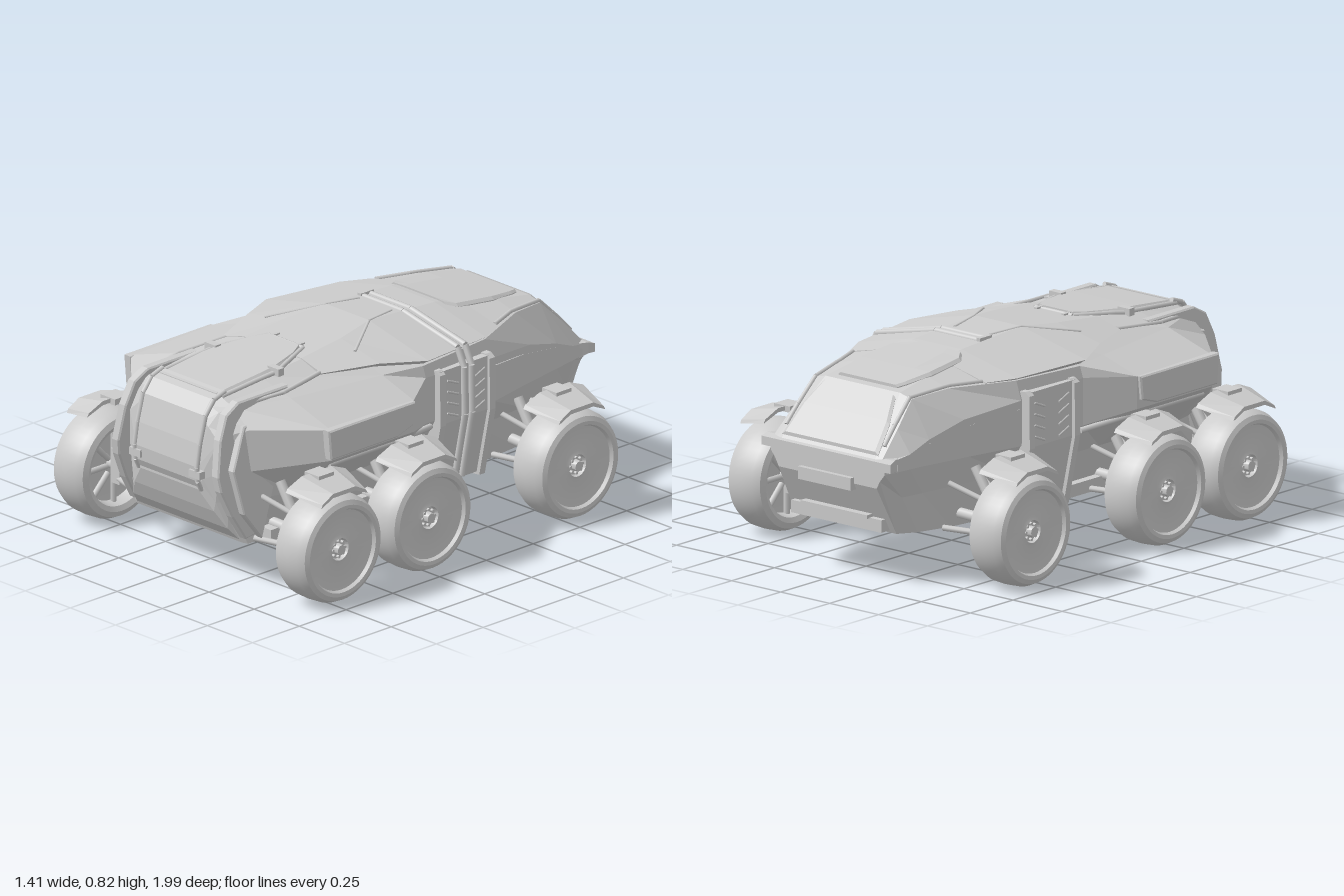
import * as THREE from 'three';
import { toCreasedNormals } from 'three/addons/utils/BufferGeometryUtils.js';

const flat = new THREE.MeshStandardMaterial({ color: 0xcccccc, flatShading: true });
const smooth = new THREE.MeshStandardMaterial({ color: 0xcccccc });
const V = (x, y, z) => new THREE.Vector3(x, y, z);

// Hull station: half profile from the belly edge up to the flat of the roof; the sill follows by rule
const station = (z, bellyX, bellyY, beltX, beltLow, beltTop, edgeX, edgeY, flatX, flatY) => ({
  z, half: [[bellyX, bellyY], [Math.min(.36, bellyX + .4 * (beltX - bellyX)), Math.max(.35, bellyY + .03)],
    [beltX, beltLow], [beltX, beltTop], [edgeX, edgeY], [flatX, flatY]],
});
const HULL = [
  station(-0.975, .25, .40, .29, .46, .50, .27, .505, .24, .51),
  station(-0.87, .26, .20, .33, .47, .53, .265, .617, .22, .627),
  station(-0.77, .28, .19, .34, .47, .57, .25, .715, .19, .73),
  station(-0.60, .30, .18, .37, .48, .62, .29, .73, .18, .757),
  station(-0.33, .31, .17, .425, .48, .65, .40, .725, .12, .795),
  station(0.02, .31, .17, .435, .48, .67, .42, .715, .12, .81),
  station(0.20, .31, .17, .555, .53, .66, .38, .715, .15, .795),
  station(0.64, .31, .17, .555, .53, .655, .33, .725, .17, .765),
  station(0.86, .29, .18, .325, .48, .65, .24, .72, .17, .748),
  station(0.91, .26, .24, .275, .47, .63, .21, .705, .165, .72),
  station(0.945, .22, .31, .245, .47, .60, .19, .65, .16, .665),
  station(0.97, .16, .39, .185, .44, .47, .17, .50, .16, .51),
];

// Skin through matching loops; loops run anticlockwise seen from +z, z rising
function loft(loops) {
  const p = [], n = loops[0].length;
  const tri = (...v) => v.forEach(a => p.push(a.x, a.y, a.z));
  const mid = l => l.reduce((s, v) => s.add(v), V(0, 0, 0)).divideScalar(n);
  const first = loops[0], last = loops[loops.length - 1], c0 = mid(first), c1 = mid(last);
  for (let j = 0; j < n; j++) {
    const k = (j + 1) % n;
    for (let i = 0; i < loops.length - 1; i++) {
      const a = loops[i], b = loops[i + 1];
      tri(a[j], a[k], b[k]);
      tri(a[j], b[k], b[j]);
    }
    tri(c0, first[k], first[j]);
    tri(c1, last[j], last[k]);
  }
  const g = new THREE.BufferGeometry();
  g.setAttribute('position', new THREE.Float32BufferAttribute(p, 3));
  g.computeVertexNormals();
  return g;
}

// Height of the upper hull skin above (x, z)
function roofY(x, z) {
  const lerp = THREE.MathUtils.lerp;
  let i = 0;
  while (i < HULL.length - 2 && HULL[i + 1].z < z) i++;
  const A = HULL[i], B = HULL[i + 1];
  const t = THREE.MathUtils.clamp((z - A.z) / (B.z - A.z), 0, 1);
  const [belt, edge, top] = [3, 4, 5].map(k => A.half[k].map((v, c) => lerp(v, B.half[k][c], t)));
  const ax = Math.abs(x);
  if (ax <= top[0]) return top[1];
  const [p, q] = ax <= edge[0] ? [top, edge] : [edge, belt];
  return lerp(p[1], q[1], Math.min(1, (ax - p[0]) / (q[0] - p[0])));
}

// Raised plate lying on the roof; rows are [z, half width]
function drapedPanel(rows, lift) {
  return loft(rows.map(([z, w]) => {
    const top = [1, .93, .5, 0, -.5, -.93, -1].map((f, i) =>
      V(w * f, roofY(w * f, z) + (i % 6 ? lift : lift * .3), z));
    return [V(-w, roofY(w, z) - .03, z), V(w, roofY(w, z) - .03, z), ...top];
  }));
}

// Plate cut in the z-y plane, running from x0 to x1
function sidePlate(pts, x0, x1, bevel = 0) {
  const shape = new THREE.Shape(pts.map(([z, y]) => new THREE.Vector2(-z, y)));
  const g = new THREE.ExtrudeGeometry(shape, { depth: Math.abs(x1 - x0), bevelEnabled: bevel > 0, bevelSize: bevel, bevelThickness: bevel, bevelSegments: 1 });
  return g.rotateY(Math.PI / 2).translate(Math.min(x0, x1), 0, 0);
}

// Move every vertex by a rule
function bend(g, rule) {
  const p = g.attributes.position;
  for (let i = 0; i < p.count; i++) p.setXYZ(i, ...rule(p.getX(i), p.getY(i), p.getZ(i)));
  g.computeVertexNormals();
  return g;
}

// Four-cornered cross-section, symmetric in x: lower and upper half widths with their y and z
const quad = (w0, y0, z0, w1, y1, z1) => [V(w0, y0, z0), V(w1, y1, z1), V(-w1, y1, z1), V(-w0, y0, z0)];

export function createModel() {
  const root = new THREE.Group();
  const add = (name, geo, mat = flat, parent = root) => {
    const m = new THREE.Mesh(geo, mat);
    m.name = name;
    parent.add(m);
    return m;
  };
  const box = (name, w, h, d, x, y, z, parent) => add(name, new THREE.BoxGeometry(w, h, d).translate(x, y, z), flat, parent);
  const strut = (name, a, b, r, parent) => {
    const m = add(name, new THREE.CylinderGeometry(r, r, a.distanceTo(b), 8), smooth, parent);
    m.position.copy(a).add(b).multiplyScalar(.5);
    m.quaternion.setFromUnitVectors(V(0, 1, 0), b.clone().sub(a).normalize());
  };
  const chain = (name, pts, r) => pts.slice(1).forEach((p, i) => strut(name, pts[i], p, r));
  // Seam rib following the roof through [x, z] points
  const rib = (name, pts, r) => {
    const path = [];
    pts.slice(1).forEach(([x, z], i) => {
      for (let k = i ? 1 : 0; k <= 5; k++) {
        const px = THREE.MathUtils.lerp(pts[i][0], x, k / 5), pz = THREE.MathUtils.lerp(pts[i][1], z, k / 5);
        path.push(V(px, roofY(px, pz) + r * .3, pz));
      }
    });
    chain(name, path, r);
  };

  // Body, overhanging roof plate and raised panels
  add('hull', loft(HULL.map(({ z, half }) => [
    ...half.map(([x, y]) => V(x, y, z)), ...half.slice().reverse().map(([x, y]) => V(-x, y, z))])));
  add('roofPlate', loft([[-.45, .13, .782, .35, .732], [-.33, .12, .80, .405, .735], [.02, .12, .82, .45, .745], [.20, .15, .803, .365, .758], [.42, .16, .783, .275, .752]]
    .map(([z, a, ya, b, yb]) => [V(b - .03, yb - .02, z), V(b, yb, z), V(a, ya, z), V(-a, ya, z), V(-b, yb, z), V(.03 - b, yb - .02, z)])));
  add('hoodPanel', drapedPanel([[.36, .09], [.42, .125], [.56, .165], [.64, .17], [.87, .165]], .016));
  const nose = [[.84, .765], [.90, .745], [.945, .69], [.975, .58], [.99, .49], [.985, .43], [.965, .39]];
  add('nosePanel', sidePlate([...nose, [.90, .365], [.84, .365]], -.165, .165));
  add('rearHatch', drapedPanel([[-.74, .15], [-.70, .165], [-.58, .19], [-.40, .18], [-.36, .15]], .012));
  add('rearWindow', drapedPanel([[-.96, .245], [-.87, .225], [-.79, .185]], .014));

  // Roof bar, continuing down one flank as a hoop
  for (const z of [-.165, -.205]) {
    chain('roofBar', [V(-.12, .805, z), V(.12, .805, z), V(.42, .742, z)], .013);
    chain('sideHoop', [V(.42, .742, z), V(.455, .67, z), V(.46, .48, z), V(.405, .20, z)], .013);
  }
  box('roofBarEnd', .02, .03, .07, -.11, .805, -.185);

  // Front and rear bumpers, rear lip
  add('frontBumper', loft([quad(.30, .17, .72, .31, .30, .72), quad(.31, .175, .85, .28, .30, .90), quad(.29, .18, .865, .255, .31, .92)]));
  add('rearLip', loft([quad(.33, .475, -.985, .33, .51, -.985), quad(.325, .475, -.955, .325, .52, -.955), quad(.30, .45, -.90, .30, .52, -.90)]));
  box('towPlate', .27, .05, .04, 0, .40, -.975);
  box('rearBumper', .46, .05, .12, 0, .235, -.865);
  box('rearStep', .34, .015, .08, 0, .265, -.90);
  for (const [z, l] of [[.45, .3], [-.05, .4], [-.55, .3]]) box('bellyPlate', .34, .012, l, 0, .168, z);

  // Tyre and dished disc as [radius, position along the axle]
  const tyre = [[0, -.02], [.15, -.03], [.16, -.08], [.18, -.09], [.203, -.08], [.217, -.05], [.22, 0],
    [.217, .05], [.203, .08], [.185, .09], [.17, .088], [.163, .074], [.06, .06], [.045, .066], [.04, .05], [.022, .05], [.02, .075], [0, .075]];
  const tyreGeo = toCreasedNormals(new THREE.LatheGeometry(tyre.map(p => new THREE.Vector2(...p)), 48), .6);

  for (const s of [1, -1]) {
    // Nose rails leaning outward, hood hardware and roof seams
    const lean = (x, y, z) => [x + s * (.745 - y) * .1, y, z];
    add('noseRail', bend(sidePlate([[.60, .745], [.86, .745], [.925, .71], [.965, .62], [.99, .48], [.98, .42], [.93, .31], [.87, .21],
      [.80, .22], [.86, .45], [.84, .62], [.60, .70]], s * .235, s * .265, .006), lean));
    add('noseFin', bend(sidePlate([[.78, .67], [.87, .66], [.94, .50], [.90, .32], [.82, .21], [.74, .40]], s * .275, s * .30, .005), lean));
    chain('hoodSeam', nose.map(([z, y]) => V(s * .172, y, z)), .01);
    rib('hoodSeam', [[0, .35], [s * .095, .35], [s * .175, .56], [s * .175, .86]], .01);
    box('hoodHinge', .06, .03, .03, s * .175, roofY(.175, .57) + .01, .57);
    box('hoodClamp', .06, .03, .03, s * .165, .46, .983);
    box('hoodLug', .015, .015, .04, s * .07, roofY(0, .34) + .005, .34);
    chain('roofSeam', [V(s * .09, .811, -.13), V(s * .12, .818, .02), V(s * .25, .782, .22)], .006);
    rib('shoulderSeam', [[s * .26, .42], [s * .29, .64], [s * .25, .84]], .009);
    rib('rearSeam', [[s * .25, -.93], [s * .24, -.77], [s * .28, -.58], [s * .33, -.45]], .009);
    rib('hatchSeam', [[s * .06, -.40], [s * .07, -.53], [s * .045, -.57], [0, -.57]], .006);

    // Side pod panel, rear flank panel and trim lines
    add('podPanel', sidePlate([[.66, .655], [.21, .655], [.22, .57], [.30, .545], [.65, .545]], s * .535, s * .565, .006));
    add('rearFlank', loft([[-.93, .318, .50, .30], [-.77, .35, .56, .30], [-.55, .39, .60, .32], [-.34, .435, .62, .35]].map(([z, x, y, inner]) => {
      const l = [V(s * x, .472, z), V(s * x, y, z), V(s * inner, y - .03, z)];
      return s > 0 ? l : l.reverse();
    })));
    chain('waistTrim', [V(s * .44, .465, 0), V(s * .52, .50, .22), V(s * .52, .50, .62)], .012);
    box('sideSill', .06, .05, .95, s * .33, .20, .30);
    box('underRod', .09, .015, .40, s * .35, .175, .50);

    // Door with frame and ribs
    const slab = (name, pts, z, d) => add(name, new THREE.ExtrudeGeometry(
      new THREE.Shape(pts.map(([x, y]) => new THREE.Vector2(s * x, y))), { depth: d, bevelEnabled: false }).translate(0, 0, z));
    slab('doorPanel', [[.30, .17], [.39, .185], [.45, .46], [.45, .68], [.30, .68]], -.30, .26);
    for (const z of [-.325, -.06])
      slab('doorFrame', [[.30, .165], [.405, .175], [.465, .46], [.462, .67], [.44, .685], [.30, .685]], z, .03);
    for (let i = 0; i < 4; i++) for (const k of [-1, 1])
      strut('doorRib', V(s * .449, .50 + i * .045, -.18 + k * .10), V(s * .449, .475 + i * .045, -.18 + k * .04), .005);

    // Wheels, fenders and suspension
    for (const z of [.715, .235, -.555]) {
      const unit = new THREE.Group();
      unit.name = 'wheelUnit';
      unit.position.z = z;
      root.add(unit);
      const wheel = add('wheel', tyreGeo, smooth, unit);
      wheel.position.set(s * .615, .22, 0);
      wheel.rotation.z = -s * Math.PI / 2;
      for (let i = 0; i < 8; i++) {
        const a = i * Math.PI / 4, c = Math.cos(a), d = Math.sin(a);
        strut('spoke', V(s * .575, .22 + d * .04, c * .04), V(s * .575, .22 + d * .155, c * .155), .012, unit);
        strut('hubBolt', V(s * .66, .22 + d * .032, c * .032), V(s * .677, .22 + d * .032, c * .032), .006, unit);
      }
      const arch = [[.165, .45], [.155, .465], [.08, .495], [-.08, .495], [-.155, .465], [-.165, .45], [-.08, .478], [.08, .478]];
      add('fender', bend(sidePlate(arch, s * .55, s * .705), (x, y, fz) => {
        const out = (Math.abs(x) - .55) / .155;
        return [x, y + .012 - out * .035, fz * (1 - out * .25)];
      }), flat, unit);
      box('fenderMount', .08, .025, .08, s * .565, .497, 0, unit);
      strut('fenderStay', V(s * .53, .49, 0), V(s * .50, .25, 0), .013, unit);
      box('knuckle', .05, .14, .07, s * .53, .23, 0, unit);
      strut('axle', V(s * .28, .23, 0), V(s * .60, .22, 0), .022, unit);
      strut('damper', V(s * .37, .42, .02), V(s * .50, .22, .02), .02, unit);
      for (const k of [-1, 1]) {
        strut('lowerArm', V(s * .31, .19, k * .10), V(s * .53, .18, k * .02), .012, unit);
        strut('upperArm', V(s * .33, .37, k * .09), V(s * .53, .29, k * .02), .011, unit);
      }
    }
  }
  return root;
}
